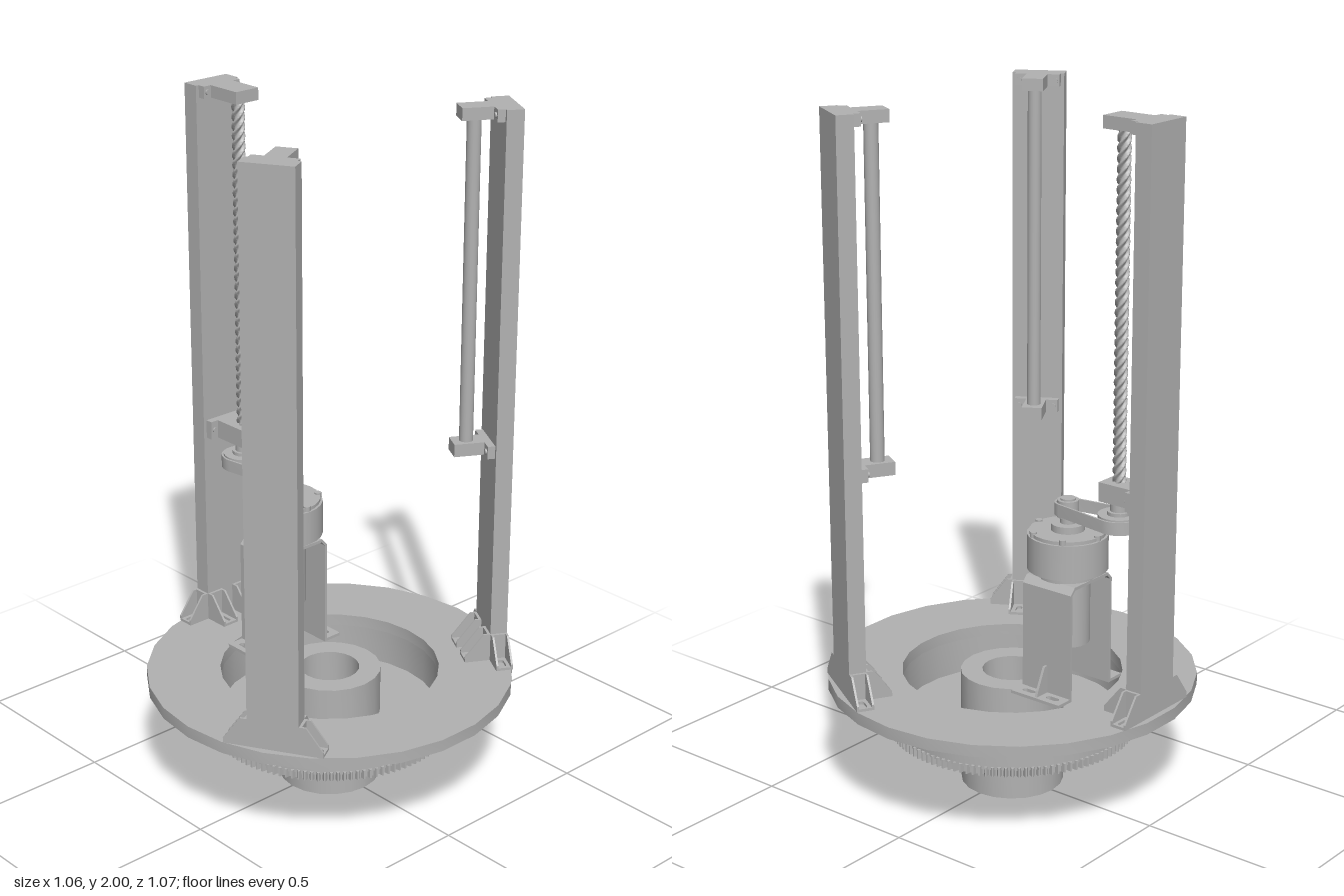
import * as THREE from 'three';
import { toCreasedNormals } from 'three/addons/utils/BufferGeometryUtils.js';

const metal = new THREE.MeshStandardMaterial({ color: 0xb2b2b2 });
metal.name = 'grey metal';

function add(parent, name, geo) {
  const m = new THREE.Mesh(geo, metal);
  m.name = name;
  parent.add(m);
  return m;
}
function group(parent, name) {
  const g = new THREE.Group();
  g.name = name;
  parent.add(g);
  return g;
}
// box given by its limits on each axis
function box(parent, name, x0, x1, y0, y1, z0, z1) {
  const g = new THREE.BoxGeometry(x1 - x0, y1 - y0, z1 - z0);
  return add(parent, name, g.translate((x0 + x1) / 2, (y0 + y1) / 2, (z0 + z1) / 2));
}
// upright cylinder
function cyl(parent, name, x, z, r, y0, y1, n = 24) {
  return add(parent, name, new THREE.CylinderGeometry(r, r, y1 - y0, n).translate(x, (y0 + y1) / 2, z));
}
// closed profile of [radius, height] points, turned about y
function turned(parent, name, pts, n) {
  const p = [...pts, pts[0]].map(([r, y]) => new THREE.Vector2(r, y));
  return add(parent, name, toCreasedNormals(new THREE.LatheGeometry(p, n), 0.5));
}
function extrude(shape, depth) {
  return new THREE.ExtrudeGeometry(shape, { depth, bevelEnabled: false, curveSegments: 10 });
}
function poly(pts) {
  return new THREE.Shape(pts.map(([x, y]) => new THREE.Vector2(x, y)));
}
// plate in the XY plane with rounded slots [centre x, centre y, half length, radius] along x
function slottedPlate(w, l, t, slots) {
  const s = poly([[0, -w / 2], [l, -w / 2], [l, w / 2], [0, w / 2]]);
  for (const [cx, cy, h, r] of slots) {
    const p = new THREE.Path();
    p.absarc(cx + h, cy, r, -Math.PI / 2, Math.PI / 2, false);
    p.absarc(cx - h, cy, r, Math.PI / 2, Math.PI * 1.5, false);
    p.closePath();
    s.holes.push(p);
  }
  return extrude(s, t);
}
// angle bracket: foot along +x, upright at x = 0, triangular gussets at the given z
function angleBracket(parent, name, w, l, h, slots, gussets) {
  const g = group(parent, name), t = 0.008;
  add(g, 'foot', slottedPlate(w, l, t, slots).rotateX(-Math.PI / 2));
  box(g, 'upright', 0, t, 0, h, -w / 2, w / 2);
  const tri = poly([[t, t], [l, t], [l, t + 0.008], [t + 0.012, h], [t, h]]);
  for (const z of gussets) add(g, 'gusset', extrude(tri, 0.006).translate(0, 0, z - 0.003));
  return g;
}
// end support for a rod or screw, bolted to the inner face of a post
function endSupport(parent, name, tip, half, y0, y1) {
  const g = group(parent, name);
  box(g, 'flange', -0.465, -0.443, y0, y1, -0.065, 0.065);
  box(g, 'arm', -0.445, tip, y0, y1, -half, half);
  for (const s of [-1, 1]) {
    const b = new THREE.CylinderGeometry(0.008, 0.008, 0.006, 10).rotateZ(Math.PI / 2);
    add(g, 'bolt', b.translate(-0.441, (y0 + y1) / 2, s * 0.052));
  }
}
// post on the -x side with its brackets, turned into place
function post(parent, angle) {
  const g = group(parent, 'post');
  box(g, 'column', -0.515, -0.465, 0.35, 2, -0.075, 0.075);
  for (const s of [-1, 1]) {
    const side = angleBracket(g, 'sideBracket', 0.05, 0.07, 0.085, [[0.042, 0, 0.012, 0.009]], [-0.022, 0.022]);
    side.position.set(-0.49, 0.35, s * 0.075);
    side.rotation.y = -s * Math.PI / 2;
    const inner = angleBracket(g, 'innerBracket', 0.054, 0.075, 0.085, [[0.045, 0, 0.012, 0.009]], [-0.024, 0.024]);
    inner.position.set(-0.465, 0.35, s * 0.048);
  }
  g.rotation.y = angle;
  return g;
}

export function createModel() {
  const root = new THREE.Group();
  root.name = 'liftFrame';

  // base: plate, drum, toothed ring and hub
  const base = group(root, 'base');
  turned(base, 'plate', [[0.32, 0.315], [0.535, 0.315], [0.535, 0.35], [0.32, 0.35]], 26);
  turned(base, 'drum', [[0.14, 0.19], [0.355, 0.19], [0.355, 0.315], [0.32, 0.315], [0.32, 0.21], [0.14, 0.21]], 26);
  turned(base, 'hub', [[0.125, 0], [0.15, 0], [0.15, 0.345], [0.087, 0.345], [0.087, 0.06], [0.125, 0.06]], 20);
  const teeth = [];
  for (let i = 0; i < 480; i++) {
    const a = (i / 480) * Math.PI * 2, r = i % 4 < 2 ? 0.361 : 0.349;
    teeth.push([r * Math.cos(a), r * Math.sin(a)]);
  }
  const ring = poly(teeth);
  ring.holes.push(new THREE.Path().absarc(0, 0, 0.14, 0, Math.PI * 2, true));
  add(base, 'toothedRing', extrude(ring, 0.027).rotateX(-Math.PI / 2).translate(0, 0.172, 0));

  // two posts with plain guide rods
  for (const s of [-1, 1]) {
    const p = post(root, s * Math.PI * 2 / 3);
    endSupport(p, 'upperSupport', -0.355, 0.03, 1.965, 2);
    endSupport(p, 'lowerSupport', -0.355, 0.03, 0.99, 1.028);
    cyl(p, 'guideRod', -0.397, 0, 0.02, 1.028, 1.965, 20);
  }

  // driven post with the lead screw
  const p = post(root, 0);
  endSupport(p, 'upperSupport', -0.335, 0.04, 1.965, 2);
  endSupport(p, 'lowerSupport', -0.335, 0.04, 0.945, 1);
  const screw = new THREE.CylinderGeometry(1, 1, 0.965, 20, 280, true);
  const pos = screw.attributes.position;
  for (let i = 0; i < pos.count; i++) {
    const x = pos.getX(i), y = pos.getY(i), z = pos.getZ(i);
    const wave = Math.sin(4 * Math.atan2(z, x) + (y / 0.11) * Math.PI * 8);
    const r = 0.0155 + 0.0035 * Math.max(-1, Math.min(1, wave * 1.8));
    pos.setXYZ(i, x * r, y, z * r);
  }
  screw.computeVertexNormals();
  add(p, 'leadScrew', screw.translate(-0.375, 1.4825, 0));
  cyl(p, 'screwShaft', -0.375, 0, 0.014, 0.85, 0.946, 16);
  cyl(p, 'screwCollar', -0.375, 0, 0.024, 0.915, 0.946, 16);

  // belt drive
  const drive = group(root, 'beltDrive');
  const loop = (shape, R, r) => {
    const a = Math.acos((0.065 - 0.038) / 0.175);
    shape.absarc(-0.375, 0, R, a, Math.PI * 2 - a, false);
    shape.absarc(-0.2, 0, r, -a, a, false);
    shape.closePath();
    return shape;
  };
  const belt = loop(new THREE.Shape(), 0.065, 0.038);
  belt.holes.push(loop(new THREE.Path(), 0.059, 0.032));
  add(drive, 'belt', toCreasedNormals(extrude(belt, 0.036).rotateX(-Math.PI / 2), 0.6).translate(0, 0.867, 0));
  cyl(drive, 'screwPulley', -0.375, 0, 0.058, 0.863, 0.907);
  cyl(drive, 'screwPulleyHub', -0.375, 0, 0.033, 0.907, 0.917, 16);
  cyl(drive, 'motorPulley', -0.2, 0, 0.031, 0.86, 0.91);

  // motor with gearbox
  const motor = group(root, 'motor');
  cyl(motor, 'outputShaft', -0.2, 0, 0.022, 0.82, 0.915, 16);
  cyl(motor, 'outputBoss', -0.2, 0, 0.048, 0.82, 0.842);
  cyl(motor, 'gearbox', -0.2, 0, 0.115, 0.71, 0.812);
  cyl(motor, 'gearboxCap', -0.2, 0, 0.108, 0.812, 0.822);
  cyl(motor, 'gearboxNeck', -0.2, 0, 0.085, 0.688, 0.71);
  cyl(motor, 'motorCan', -0.2, 0, 0.065, 0.49, 0.68);
  for (let i = 0; i < 6; i++) {
    const a = (i * Math.PI) / 3;
    cyl(motor, 'gearboxBolt', -0.2 + 0.103 * Math.cos(a), 0.103 * Math.sin(a), 0.01, 0.80, 0.827, 10);
  }

  // motor bracket: bridge with two legs on slotted feet
  const mount = group(root, 'motorBracket');
  const out = [[-0.094, 0.35], [-0.094, 0.67], [-0.076, 0.69], [0.076, 0.69], [0.094, 0.67], [0.094, 0.35],
    [0.086, 0.35], [0.086, 0.668], [0.073, 0.681], [-0.073, 0.681], [-0.086, 0.668], [-0.086, 0.35]];
  add(mount, 'bridge', extrude(poly(out), 0.17).rotateY(Math.PI / 2).translate(-0.285, 0, 0));
  for (const s of [-1, 1]) {
    const foot = group(mount, 'foot');
    add(foot, 'footPlate', slottedPlate(0.055, 0.17, 0.009, [[0.043, 0, 0.012, 0.009], [0.127, 0, 0.012, 0.009]])
      .rotateX(-Math.PI / 2).translate(-0.285, 0.35, s * 0.1185));
    const tri = extrude(poly([[0, 0.35], [0.05, 0.35], [0.042, 0.375], [0.012, 0.44], [0, 0.44]]), 0.008);
    const web = add(foot, 'gusset', tri.translate(0, 0, -0.004));
    web.rotation.y = -s * Math.PI / 2;
    web.position.set(-0.2, 0, s * 0.093);
  }
  return root;
}
